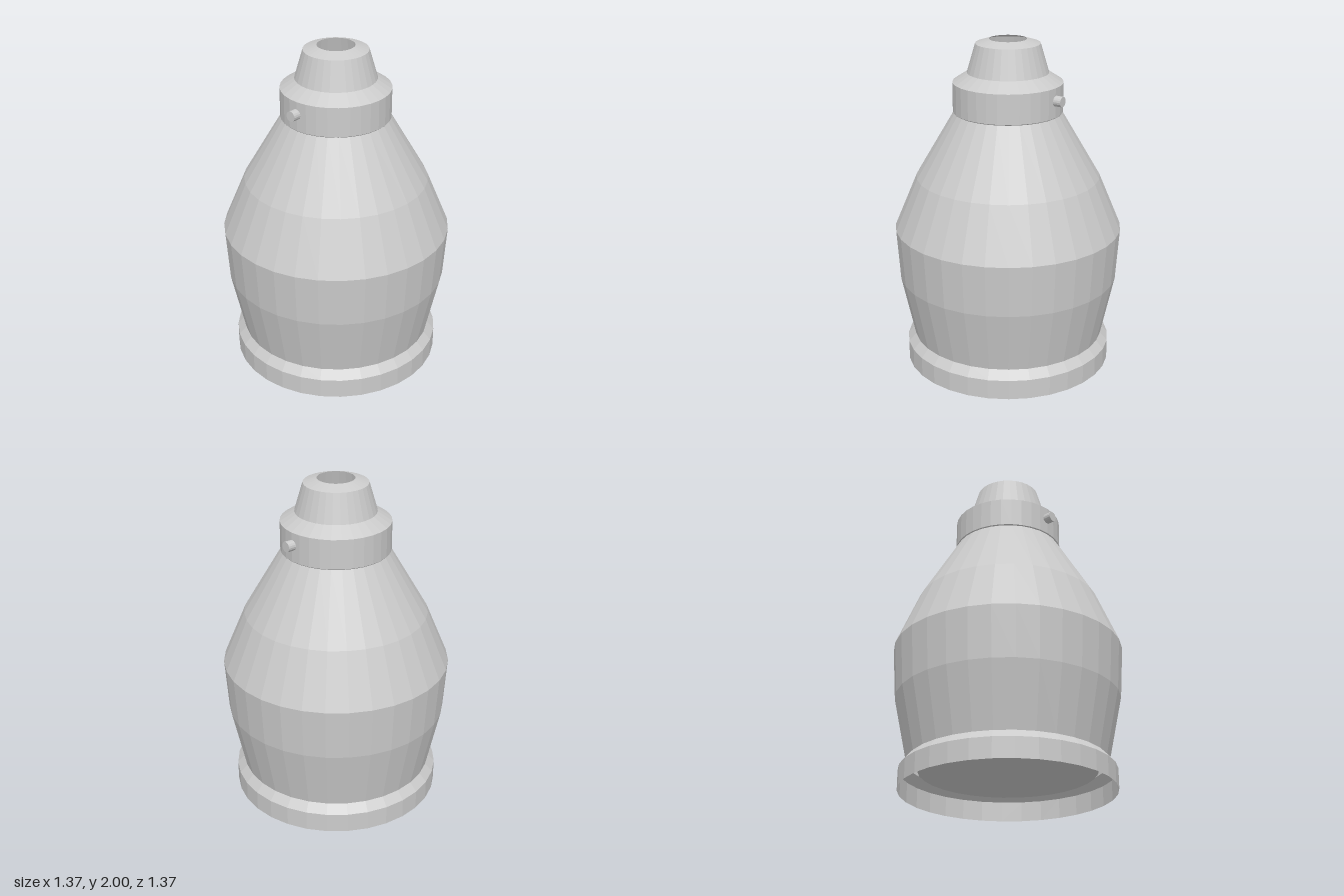
import * as THREE from 'three';

export function createModel() {
  const model = new THREE.Group();
  const material = new THREE.MeshStandardMaterial({
    color: 0xcccccc, flatShading: true, side: THREE.DoubleSide,
  });

  function add(name, geometry) {
    const mesh = new THREE.Mesh(geometry, material);
    mesh.name = name;
    model.add(mesh);
    return mesh;
  }

  // Thin turned shell from [radius, height] pairs, bottom to top
  function turned(name, profile) {
    const points = profile.map(([r, y]) => new THREE.Vector2(r, y));
    return add(name, new THREE.LatheGeometry(points, 32));
  }

  // Open base ring with a sloping ledge
  turned('baseRim', [[0.63, 0], [0.63, 0.12], [0.585, 0.17]]);

  // Bulging body
  turned('body', [[0.585, 0.17], [0.665, 0.55], [0.685, 0.86], [0.55, 1.18], [0.32, 1.57]]);

  // Collar and its sloping shoulder
  turned('collar', [[0.32, 1.57], [0.325, 1.575], [0.325, 1.75], [0.24, 1.805]]);

  // Tapered cap with an open hole
  turned('cap', [[0.24, 1.805], [0.19, 1.975], [0.11, 2]]);

  // Flat plate recessed inside the base
  const plate = add('basePlate', new THREE.CircleGeometry(0.52, 32));
  plate.rotation.x = -Math.PI / 2;
  plate.position.y = 0.12;

  // Pin running front to back through the collar
  const pin = add('crossPin', new THREE.CylinderGeometry(0.031, 0.031, 0.74, 16));
  pin.rotation.x = Math.PI / 2;
  pin.position.set(-0.005, 1.675, 0);

  return model;
}
